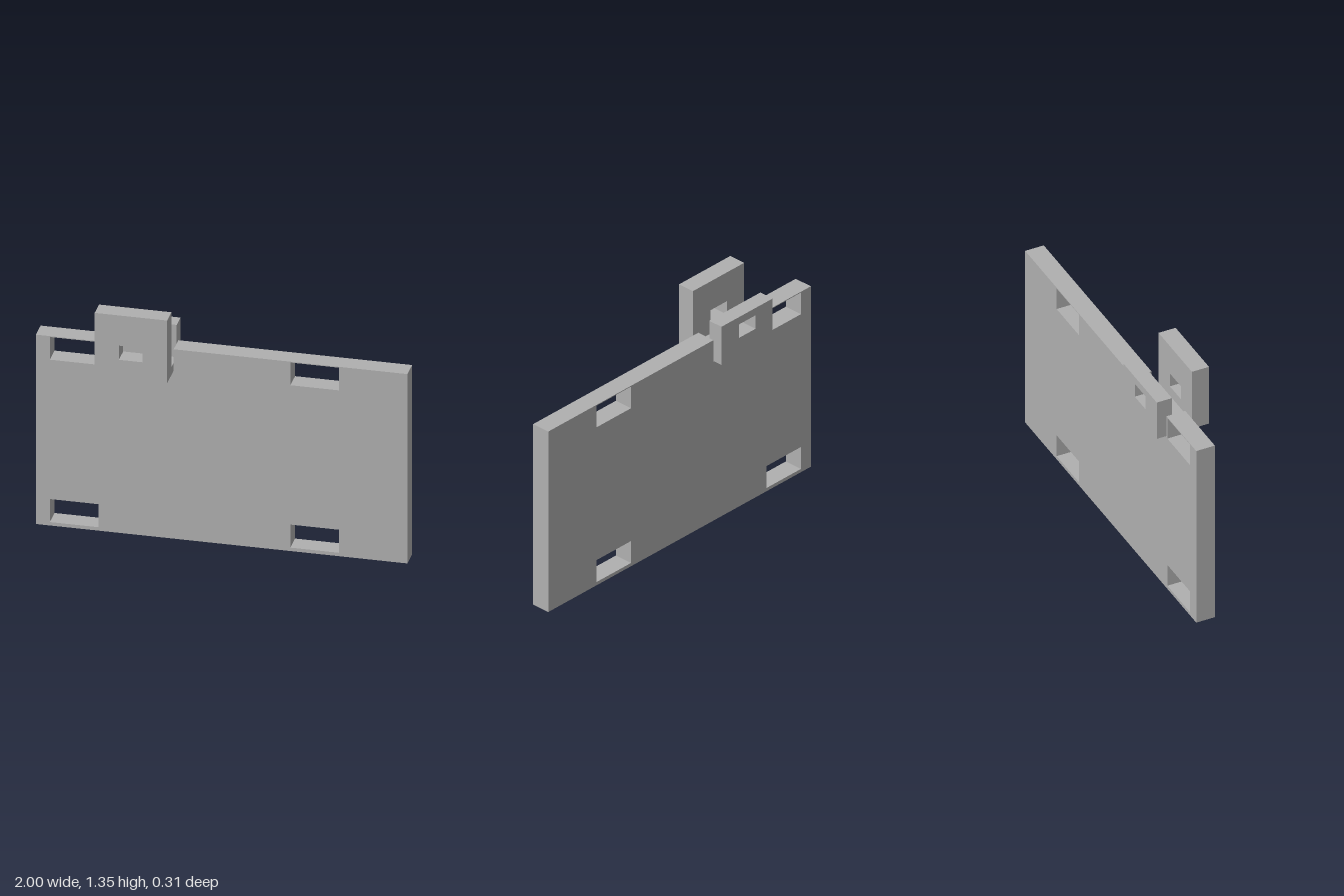
import * as THREE from 'three';

const grey = new THREE.MeshStandardMaterial({ color: 0xb0b0b0 });
grey.name = 'plain grey';

function rectHole(x0, x1, y0, y1) {
  return new THREE.Path([[x0, y0], [x0, y1], [x1, y1], [x1, y0]].map(p => new THREE.Vector2(...p)));
}

// Flat plate from an outline, with rectangular holes, spanning z0 to z1
function plate(name, outline, holes, z0, z1) {
  const shape = new THREE.Shape(outline.map(p => new THREE.Vector2(...p)));
  holes.forEach(h => shape.holes.push(rectHole(...h)));
  const geo = new THREE.ExtrudeGeometry(shape, { depth: z1 - z0, bevelEnabled: false });
  geo.translate(0, 0, z0);
  const mesh = new THREE.Mesh(geo, grey);
  mesh.name = name;
  return mesh;
}

const rect = (x0, x1, y0, y1) => [[x0, y0], [x1, y0], [x1, y1], [x0, y1]];

export function createModel() {
  const model = new THREE.Group();
  model.name = 'panelWithClip';

  // Panel with four slots and a notch in the top edge for the clip
  const slots = [];
  for (const [x0, x1] of [[-0.925, -0.662], [0.37, 0.632]])
    for (const [y0, y1] of [[0.02, 0.155], [0.972, 1.105]]) slots.push([x0, x1, y0, y1]);
  const top = 1.11, floor = 0.978, left = -0.652, right = -0.258;
  model.add(plate('panel', [
    [-1, 0], [1, 0], [1, top], [right, top], [right, floor], [left, floor], [left, top], [-1, top],
  ], slots, -0.097, 0.012));

  // U-shaped clip: tall front arm, short back arm, thin bridge
  const clip = new THREE.Group();
  clip.name = 'clip';
  const hole = [-0.52, -0.393, 1.087, 1.17];
  const cx0 = -0.65, cx1 = -0.26;
  clip.add(
    plate('frontArm', rect(cx0, cx1, 0.98, 1.347), [hole], 0.053, 0.153),
    plate('backArm', rect(cx0, cx1, 0.98, 1.215), [hole], -0.153, -0.065),
    plate('bridge', rect(cx0, cx1, 0.98, 1.026), [], -0.065, 0.053),
  );
  model.add(clip);
  return model;
}
